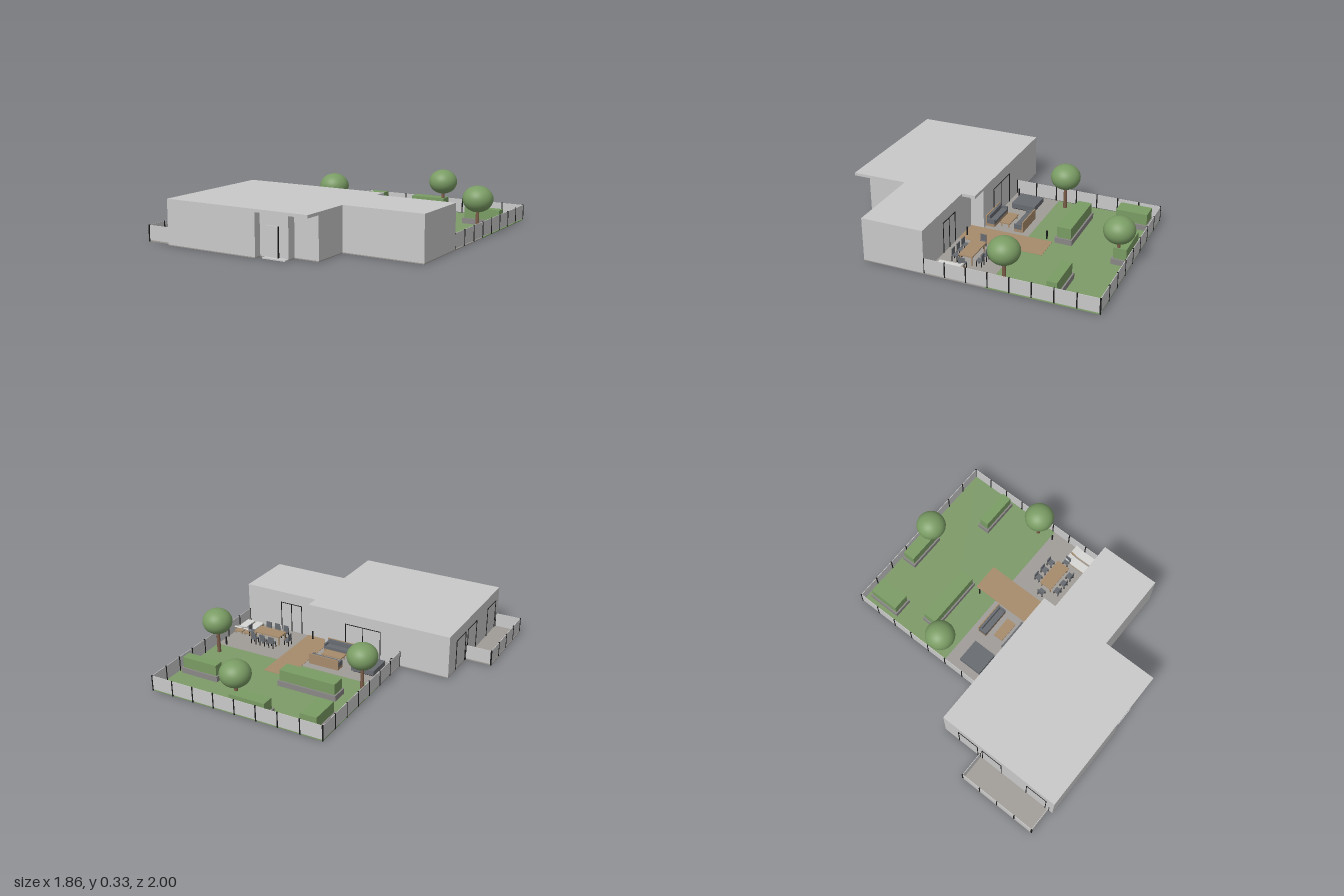
import * as THREE from 'three';

export function createModel() {
  const root = new THREE.Group();
  const material = (name, color) => {
    const m = new THREE.MeshStandardMaterial({ color });
    m.name = name;
    return m;
  };
  const wall = material('light grey wall', 0xc9c9c9);
  const paving = material('warm grey paving', 0xa09c98);
  const lawn = material('lawn green', 0x7d9a68);
  const leaf = material('leaf green', 0x7a9c64);
  const wood = material('wood', 0xa68b6b);
  const trunkBrown = material('trunk brown', 0x7a5c48);
  const charcoal = material('charcoal fabric', 0x676b70);
  const black = material('black metal', 0x1c1c1c);
  const planterGrey = material('planter grey', 0x8a8886);
  const cushion = material('pale cushion', 0xd6d6d4);

  const add = (name, geo, mat, parent = root) => {
    const mesh = new THREE.Mesh(geo, mat);
    mesh.name = name;
    parent.add(mesh);
    return mesh;
  };
  // Box given by its limits on each axis
  const box = (name, mat, x0, x1, y0, y1, z0, z1, parent = root) => {
    const mesh = add(name, new THREE.BoxGeometry(x1 - x0, y1 - y0, z1 - z0), mat, parent);
    mesh.position.set((x0 + x1) / 2, (y0 + y1) / 2, (z0 + z1) / 2);
    return mesh;
  };
  // Upright prism from a floor plan of [x, z] points
  const prism = (name, mat, plan, y0, y1) => {
    const shape = new THREE.Shape(plan.map(([x, z]) => new THREE.Vector2(x, -z)));
    const geo = new THREE.ExtrudeGeometry(shape, { depth: y1 - y0, bevelEnabled: false });
    geo.rotateX(-Math.PI / 2).translate(0, y0, 0);
    return add(name, geo, mat);
  };
  const group = (name, x = 0, z = 0, angle = 0) => {
    const g = new THREE.Group();
    g.name = name;
    g.position.set(x, 0, z);
    g.rotation.y = angle;
    root.add(g);
    return g;
  };

  // Ground
  box('lawn', lawn, -0.38, 0.9, 0, 0.006, -0.98, -0.24);
  box('terrace', paving, -0.38, 0.9, 0, 0.006, -0.24, 0.18);
  box('gardenPath', wood, 0.205, 0.4, -0.0005, 0.008, -0.415, 0.18);
  box('sideTerrace', paving, -0.93, -0.74, 0, 0.008, 0.39, 0.97);

  // House: walls with a stepped entrance and a rear recess, under one flat roof
  const roofPlan = [[-0.74, 0.085], [0.335, 0.085], [0.335, 0.18], [0.9, 0.18],
    [0.9, 0.61], [0.335, 0.61], [0.335, 1], [-0.74, 1]];
  const wallPlan = [[-0.74, 0.085], [0.205, 0.085], [0.205, 0.18], [0.9, 0.18],
    [0.9, 0.61], [0.335, 0.61], [0.335, 0.883], [0.16, 0.883],
    [0.16, 0.947], [-0.05, 0.947], [-0.05, 1], [-0.74, 1]];
  prism('floorSlab', paving, wallPlan, 0, 0.006);
  prism('houseWalls', wall, wallPlan, 0.006, 0.285);
  prism('roof', wall, roofPlan, 0.285, 0.305);

  // Entrance door and step
  box('frontDoor', wall, -0.01, 0.087, 0.006, 0.203, 0.947, 0.956);
  box('doorEdge', black, 0.087, 0.092, 0, 0.203, 0.947, 0.957);
  box('doorStep', wall, -0.01, 0.16, 0, 0.008, 0.947, 0.985);

  // Thin dark window frames; local x runs along the wall, local z points out
  const windowFrame = (x, z, angle, width, height, bars) => {
    const g = group('window', x, z, angle);
    const t = 0.004;
    for (let i = 0; i <= bars; i++) {
      const u = -width / 2 + (width * i) / bars;
      box('frameUpright', black, u - t / 2, u + t / 2, 0.006, height, 0, t, g);
    }
    box('frameHead', black, -width / 2, width / 2, height - t, height, 0, t, g);
  };
  windowFrame(0.535, 0.18, Math.PI, 0.17, 0.225, 2);
  windowFrame(-0.095, 0.085, Math.PI, 0.27, 0.225, 2);
  for (const [z, w] of [[0.29, 0.16], [0.49, 0.16], [0.86, 0.16]]) {
    windowFrame(-0.74, z, -Math.PI / 2, w, 0.225, 1);
  }

  // Fences: panels between evenly spaced posts
  const fence = (x0, z0, x1, z1, panels) => {
    const g = group('fence', x0, z0, Math.atan2(z0 - z1, x1 - x0));
    const length = Math.hypot(x1 - x0, z1 - z0);
    box('fencePanel', wall, 0, length, 0.01, 0.11, -0.002, 0.002, g);
    for (let i = 0; i <= panels; i++) {
      const u = (length * i) / panels;
      box('fencePost', black, u - 0.004, u + 0.004, 0, 0.112, -0.004, 0.004, g);
    }
  };
  fence(-0.38, 0.085, -0.38, -0.98, 7);
  fence(-0.38, -0.98, 0.896, -0.98, 8);
  fence(0.896, -0.98, 0.896, 0.18, 8);
  fence(-0.926, 0.39, -0.926, 0.97, 4);
  fence(-0.926, 0.392, -0.74, 0.392, 1);
  fence(-0.926, 0.968, -0.74, 0.968, 1);

  // Trees
  for (const [x, z] of [[0.295, -0.895], [-0.3, -0.315], [0.822, -0.335]]) {
    const tree = group('tree', x, z);
    add('trunk', new THREE.CylinderGeometry(0.011, 0.014, 0.18, 12), trunkBrown, tree).position.y = 0.09;
    const crown = add('crown', new THREE.SphereGeometry(0.104, 32, 20), leaf, tree);
    crown.scale.y = 0.86;
    crown.position.y = 0.245;
  }

  // Planters with clipped hedges
  for (const [x0, x1, z0, z1] of [[-0.325, -0.185, -0.95, -0.71], [0.04, 0.325, -0.965, -0.855],
    [0.583, 0.87, -0.705, -0.615], [-0.228, 0.207, -0.55, -0.43]]) {
    box('planter', planterGrey, x0, x1, 0, 0.045, z0, z1);
    box('hedge', leaf, x0 + 0.011, x1 - 0.011, 0.045, 0.122, z0 + 0.011, z1 - 0.011);
  }

  // Lounge: daybed, two facing sofas, low table
  box('daybed', charcoal, -0.3, -0.13, 0.015, 0.05, -0.15, 0.022);
  box('daybedBase', black, -0.29, -0.14, 0.006, 0.015, -0.14, 0.012);
  const sofa = (z, angle) => {
    const g = group('sofa', 0.063, z, angle);
    box('sofaBase', wood, -0.113, 0.113, 0.01, 0.03, 0, 0.066, g);
    box('sofaSeat', charcoal, -0.1, 0.1, 0.03, 0.05, 0.008, 0.066, g);
    box('sofaBack', wood, -0.113, 0.113, 0.03, 0.085, 0, 0.008, g);
    box('backCushion', charcoal, -0.1, 0.1, 0.05, 0.082, 0.008, 0.024, g);
    for (const s of [-1, 1]) {
      const x = s * 0.1065;
      box('sofaArm', charcoal, x - 0.0065, x + 0.0065, 0.03, 0.065, 0.008, 0.066, g);
    }
  };
  sofa(-0.19, 0);
  sofa(0.083, Math.PI);

  const table = (name, x0, x1, z0, z1, h) => {
    box(name, wood, x0, x1, h - 0.008, h, z0, z1);
    for (const x of [x0 + 0.01, x1 - 0.01]) for (const z of [z0 + 0.01, z1 - 0.01]) {
      box('tableLeg', wood, x - 0.004, x + 0.004, 0.006, h - 0.008, z - 0.004, z + 0.004);
    }
  };
  table('lowTable', -0.013, 0.143, -0.08, -0.008, 0.04);
  table('diningTable', 0.493, 0.705, -0.066, 0.032, 0.075);

  // Dining chairs, each facing the table
  const chair = (x, z, angle) => {
    const g = group('chair', x, z, angle);
    const r = 0.021;
    box('chairSeat', charcoal, -r, r, 0.042, 0.049, -r, r, g);
    box('chairBack', charcoal, -r, r, 0.049, 0.092, -r, -r + 0.006, g);
    for (const sx of [-1, 1]) for (const sz of [-1, 1]) {
      const px = sx * 0.018, pz = sz * 0.018;
      box('chairLeg', black, px - 0.0025, px + 0.0025, 0.006, 0.042, pz - 0.0025, pz + 0.0025, g);
    }
  };
  for (const x of [0.528, 0.6, 0.672]) {
    chair(x, -0.105, 0);
    chair(x, 0.067, Math.PI);
  }
  chair(0.452, -0.018, Math.PI / 2);
  chair(0.748, -0.018, -Math.PI / 2);

  // Sun loungers with raised head ends
  for (const x of [0.785, 0.861]) {
    box('loungerFrame', wood, x - 0.031, x + 0.031, 0.02, 0.028, -0.04, 0.14);
    box('loungerMattress', cushion, x - 0.03, x + 0.03, 0.028, 0.038, 0.01, 0.14);
    const head = box('loungerHead', cushion, x - 0.03, x + 0.03, 0.043, 0.051, -0.04, 0.016);
    head.rotation.x = 0.4;
    for (const z of [-0.03, 0.13]) for (const s of [-1, 1]) {
      const px = x + s * 0.026;
      box('loungerLeg', wood, px - 0.003, px + 0.003, 0.006, 0.02, z - 0.003, z + 0.003);
    }
  }

  // Garden bollard lights
  for (const [x, z] of [[0.18, -0.365], [0.84, -0.22], [-0.335, 0.05], [0.34, 0.145]]) {
    const light = add('bollardLight', new THREE.CylinderGeometry(0.006, 0.006, 0.06, 12), black);
    light.position.set(x, 0.036, z);
  }

  return root;
}
